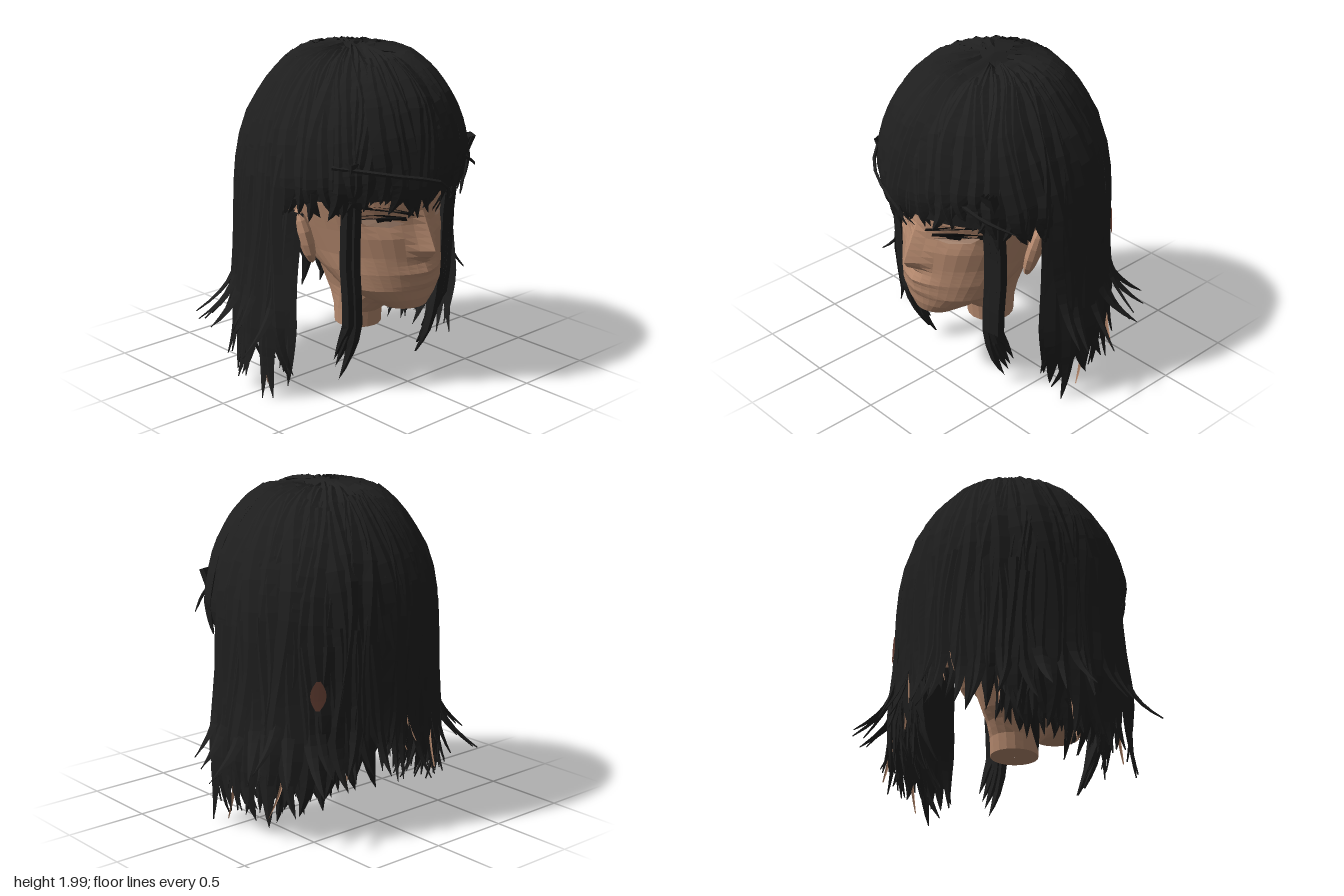
import * as THREE from 'three';
import { mergeGeometries } from 'three/addons/utils/BufferGeometryUtils.js';

const mat = (name, color, side = THREE.FrontSide) => {
  const m = new THREE.MeshStandardMaterial({ color, side });
  m.name = name;
  return m;
};

// seeded random numbers
let seed = 11;
const rnd = (a = 0, b = 1) => {
  seed = (seed * 16807) % 2147483647;
  return a + (b - a) * (seed / 2147483647);
};

const lerp = THREE.MathUtils.lerp;

// section tables: [y, half width, front z, back z]
const HEAD = [
  [0.512, 0.001, 0.5, 0.498], [0.52, 0.14, 0.59, 0.33], [0.58, 0.235, 0.61, 0.17],
  [0.65, 0.32, 0.62, 0.02], [0.75, 0.36, 0.625, -0.15], [0.85, 0.385, 0.62, -0.32],
  [1.0, 0.43, 0.61, -0.45], [1.15, 0.47, 0.6, -0.5], [1.35, 0.5, 0.6, -0.54],
  [1.6, 0.42, 0.48, -0.44], [1.8, 0.2, 0.22, -0.2], [1.85, 0.01, 0.01, -0.01],
];
const NECK = [
  [0.28, 0.002, 0.052, 0.048], [0.281, 0.14, 0.19, -0.1], [0.38, 0.14, 0.2, -0.11],
  [0.46, 0.145, 0.3, -0.15], [0.52, 0.155, 0.42, -0.2], [0.7, 0.2, 0.4, -0.28],
];
const HAIR = [
  [1.99, 0.001, 0.001, -0.001], [1.975, 0.19, 0.22, -0.22], [1.94, 0.33, 0.37, -0.33],
  [1.86, 0.43, 0.49, -0.42], [1.74, 0.52, 0.6, -0.51], [1.55, 0.63, 0.67, -0.61],
  [1.32, 0.685, 0.7, -0.66], [1.1, 0.7, 0.68, -0.67], [0.85, 0.71, 0.66, -0.67],
  [0.6, 0.74, 0.66, -0.67], [0.2, 0.77, 0.66, -0.7],
];

// row of a table at a fractional index, and the index for a height
const at = (rows, p) => {
  const i = Math.min(Math.floor(p), rows.length - 2);
  return rows[i].map((v, k) => lerp(v, rows[i + 1][k], p - i));
};
const indexOf = (rows, y) => {
  for (let i = 0; i < rows.length - 1; i++) {
    const t = (y - rows[i][0]) / (rows[i + 1][0] - rows[i][0]);
    if (t >= 0 && t <= 1) return i + t;
  }
  return rows.length - 1;
};

// faceted surface from a rule f(u, v)
function grid(nu, nv, f) {
  const pos = [], idx = [];
  for (let j = 0; j <= nv; j++)
    for (let i = 0; i <= nu; i++) pos.push(...f(i / nu, j / nv));
  for (let j = 0; j < nv; j++)
    for (let i = 0; i < nu; i++) {
      const a = j * (nu + 1) + i, c = a + nu + 1;
      idx.push(a, a + 1, c, a + 1, c + 1, c);
    }
  const g = new THREE.BufferGeometry();
  g.setAttribute('position', new THREE.Float32BufferAttribute(pos, 3));
  g.setIndex(idx);
  return flat(g);
}
function flat(g) {
  const out = g.toNonIndexed();
  out.computeVertexNormals();
  return out;
}

// nose, lips and eye sockets pushed out of the face
function relief(x, y) {
  const a = Math.abs(x), tent = (d, w) => Math.max(0, 1 - Math.abs(d) / w);
  const drop = y > 0.87 ? THREE.MathUtils.clamp((1.12 - y) / 0.25, 0, 1) : THREE.MathUtils.clamp((y - 0.81) / 0.06, 0, 1);
  const nose = 0.1 * drop * tent(x, 0.05 + 0.06 * drop);
  const lips = (0.03 * tent(y - 0.75, 0.06) + 0.02 * tent(y - 0.68, 0.05)) * tent(x, 0.2);
  const socket = 0.04 * tent(a - 0.22, 0.17) * tent(y - 1.06, 0.09);
  return nose + lips - socket;
}
function headPoint(theta, p) {
  const [y, rx, zf, zb] = at(HEAD, p), zc = (zf + zb) / 2;
  const x = rx * Math.sin(theta), c = Math.cos(theta);
  return [x, y, zc + (zf - zc) * c + (c > 0.3 ? relief(x, y) : 0)];
}
function faceZ(x, y) {
  const p = indexOf(HEAD, y);
  return headPoint(Math.asin(x / at(HEAD, p)[1]), p)[2];
}

// thin painted patch lying on the face
function decal(points, lift = 0.01) {
  const g = new THREE.ShapeGeometry(new THREE.Shape(points.map(p => new THREE.Vector2(...p))));
  const a = g.attributes.position;
  for (let i = 0; i < a.count; i++) a.setZ(i, faceZ(a.getX(i), a.getY(i)) + lift);
  return flat(g);
}

// point on the hair volume; the crown has a shallow parting
function hairPoint(theta, p, k = 1) {
  const [y, rx, zf, zb] = at(HAIR, p), c = Math.cos(theta);
  const x = rx * Math.sin(theta) * k, z = (c > 0 ? zf : -zb) * c * k;
  const dip = z > -0.1 && y > 1.6 ? 0.03 * Math.exp(-(((x - 0.09) / 0.05) ** 2)) : 0;
  return new THREE.Vector3(x, y - dip, z);
}

// tapering lock with a diamond section swept along points
function lock(points, width, thick, taperFrom = 0.65) {
  const curve = new THREE.CatmullRomCurve3(points), n = points.length + 4;
  return grid(4, n, (u, v) => {
    const c = curve.getPoint(v), t = curve.getTangent(v);
    const out = new THREE.Vector3(c.x, Math.max(0, c.y - 1.2) * 1.1, c.z);
    const s = new THREE.Vector3().crossVectors(t, out).normalize();
    const o = new THREE.Vector3().crossVectors(s, t).normalize();
    const end = v > taperFrom ? Math.pow(1 - (v - taperFrom) / (1 - taperFrom), 0.7) : 1;
    const w = width * end * Math.min(1, 0.12 + Math.hypot(c.x, c.z) / 0.6);
    const a = u * Math.PI * 2;
    c.addScaledVector(s, Math.cos(a) * w).addScaledVector(o, Math.sin(a) * thick * (0.2 + 0.8 * end));
    return [c.x, c.y, c.z];
  });
}

// lock that follows the hair volume from index p0, then swings free to yEnd
function fallingLock(theta, p0, yEnd, flare, k, width, free = 0.35) {
  const pts = [], p1 = indexOf(HAIR, yEnd + free), phase = rnd(0, 6);
  const sway = p => theta + 0.06 * Math.sin(p * 0.9 + phase);
  for (let i = 0; i <= 8; i++) {
    const p = lerp(p0, p1, i / 8);
    pts.push(hairPoint(sway(p), p, k));
  }
  const turn = rnd(-0.12, 0.12);
  for (let i = 1; i <= 4; i++) {
    const t = i / 4, q = hairPoint(sway(p1) + turn * t * t, p1, k * (1 + flare * t * t));
    q.y = lerp(yEnd + free, yEnd, t);
    pts.push(q);
  }
  return lock(pts, width, 0.018);
}

// hem of the hair: a fringe in front, long at the sides, shorter at the nape
const FRINGE = 1.33;
function hem(theta) {
  const a = Math.abs(theta);
  if (a < FRINGE) return 1.17;
  return 0.01 + 0.13 * Math.min(1, (a - FRINGE) / 1.1) + 0.3 * Math.max(0, (a - 2.4) / 0.74);
}

export function createModel() {
  seed = 11;
  const model = new THREE.Group();
  const skin = mat('skin', 0xb5896e);
  const hair = mat('black hair', 0x1f1f1f, THREE.DoubleSide);
  const under = mat('dark brown scalp', 0x5e3b30, THREE.DoubleSide);
  const ink = mat('eye black', 0x131313, THREE.DoubleSide);
  const eyeMat = mat('eye pale', 0xb8937c, THREE.DoubleSide);
  const add = (name, geo, m) => {
    const mesh = new THREE.Mesh(Array.isArray(geo) ? mergeGeometries(geo) : geo, m);
    mesh.name = name;
    model.add(mesh);
    return mesh;
  };

  // head, scalp under the hair at the back, and neck
  const ring = u => (u * 2 - 1) * Math.PI;
  add('head', grid(40, 44, (u, v) => headPoint(ring(u), v * (HEAD.length - 1))), skin);
  add('scalp', grid(20, 20, (u, v) => {
    const [x, y, z] = headPoint(lerp(1.9, Math.PI * 2 - 1.9, u), lerp(indexOf(HEAD, 0.82), HEAD.length - 1, v));
    return [x * 1.02, y, z * 1.02];
  }), under);
  add('neck', grid(18, 10, (u, v) => {
    const [y, rx, zf, zb] = at(NECK, v * (NECK.length - 1)), th = ring(u);
    return [0.015 + rx * Math.sin(th), y, (zf + zb) / 2 + ((zf - zb) / 2) * Math.cos(th)];
  }), skin);

  // ears and eyes
  for (const s of [1, -1]) {
    const ear = add('ear', flat(new THREE.SphereGeometry(1, 9, 7)), skin);
    ear.scale.set(0.045, 0.17, 0.09);
    ear.position.set(0.48 * s, 0.95, 0.13);
    ear.rotation.set(-0.1, 0.5 * s, -0.2 * s);
    const mir = pts => pts.map(([x, y]) => [x * s, y]);
    add('eye', decal(mir([[0.12, 1.05], [0.2, 1.03], [0.3, 1.045], [0.34, 1.08], [0.22, 1.085]]), 0.01), eyeMat);
    add('iris', decal(mir([[0.19, 1.06], [0.25, 1.06], [0.265, 1.085], [0.18, 1.085]]), 0.014), ink);
    add('upperLid', decal(mir([[0.11, 1.065], [0.2, 1.078], [0.36, 1.07], [0.37, 1.1], [0.25, 1.115], [0.12, 1.09]]), 0.016), ink);
    add('eyebrow', decal(mir([[0.07, 1.09], [0.19, 1.125], [0.34, 1.15], [0.34, 1.17], [0.2, 1.15], [0.08, 1.11]]), 0.014), ink);
  }

  // hair base shell
  add('hairShell', grid(72, 20, (u, v) => {
    const th = ring(u), y = Math.abs(th) < FRINGE ? 1.22 : hem(th) + 0.42;
    return hairPoint(th, v * indexOf(HAIR, y), 0.965).toArray();
  }), hair);

  // long curtain around the sides and back, in overlapping layers
  const curtain = [], inner = [], tan = [], flicks = [], fringe = [];
  for (const s of [1, -1])
    for (let i = 0; i < 36; i++) {
      const th = s * (FRINGE + 0.02 + (i / 35) * (Math.PI - FRINGE - 0.02));
      const short = i % 3 ? rnd(-0.01, 0.1) : rnd(0.1, 0.25);
      curtain.push(fallingLock(th, rnd(0.3, 3), hem(th) + short, rnd(-0.12, 0.08), rnd(0.965, 1), rnd(0.045, 0.075)));
      if (i < 26) inner.push(fallingLock(th, 7, hem(th) + rnd(0, 0.15), rnd(-0.2, 0.02), rnd(0.75, 0.93), 0.055));
      if (i % 10 === 5) tan.push(fallingLock(th, 9, hem(th) + rnd(0.02, 0.1), rnd(0, 0.1), 0.955, 0.016));
    }
  add('longHair', curtain, hair);
  add('innerHair', inner, hair);
  add('tanStrands', tan, skin);

  // outward flicked ends
  for (const s of [1, -1])
    for (let i = 0; i < 14; i++) {
      const th = s * (1.45 + i * 0.122 + rnd(-0.03, 0.03));
      const y = Math.max(rnd(0.3, 0.46), hem(th) - 0.05);
      flicks.push(fallingLock(th, 6 + rnd(), y, rnd(0.17, 0.36) * (i > 7 ? 0.5 : 1), 0.99, rnd(0.04, 0.065)));
    }
  add('flickedEnds', flicks, hair);

  // fringe, lowest just right of the middle of the face
  for (let i = 0; i < 52; i++) {
    const th = lerp(-FRINGE, FRINGE, i / 51);
    const y = (Math.abs(th) > 0.85 ? 1.09 : 1.165 - 0.07 * Math.exp(-(((th + 0.12) / 0.25) ** 2))) + rnd(-0.02, 0.05);
    fringe.push(fallingLock(th, rnd(0.3, 2.5), y, rnd(-0.08, -0.01), rnd(0.965, 1), rnd(0.045, 0.065), 0.2));
  }
  add('fringe', fringe, hair);

  // long locks framing the face, and a few stray hairs
  const V = (x, y, z) => new THREE.Vector3(x, y, z);
  const framing = [];
  for (const s of [1, -0.9])
    for (let i = 0; i < 4; i++) {
      const dx = (i - 1.5) * 0.022, dz = rnd(-0.025, 0.025), up = i * 0.05;
      framing.push(lock([V((0.47 + dx) * s, 1.45, 0.5), V((0.43 + dx) * s, 1.15, 0.42 + dz), V((0.42 + dx) * s, 0.8, 0.4 + dz),
        V((0.39 + dx) * s, 0.45, 0.39 + dz), V((0.38 + dx) * s, 0.2 + up, 0.33 + dz), V((0.37 + dx) * s, 0.03 + up, 0.24 + dz)], 0.038, 0.03));
    }
  add('faceFramingLocks', framing, hair);
  add('strayHairs', [
    lock([V(-0.53, 1.42, 0.42), V(-0.3, 1.38, 0.66), V(0, 1.3, 0.765), V(0.1, 1.18, 0.7)], 0.012, 0.01),
    lock([V(0.28, 1.4, 0.6), V(0.48, 1.3, 0.53), V(0.64, 1.22, 0.41)], 0.012, 0.01),
  ], hair);

  // scalp colour showing through a gap at the back
  add('scalpGap', grid(4, 6, (u, v) => {
    const w = 0.065 * Math.sin(Math.PI * (0.08 + v * 0.84));
    const y = lerp(0.8, 0.97, v);
    return hairPoint(2.42 + (u * 2 - 1) * w, indexOf(HAIR, y), 1.03).toArray();
  }), under);
  return model;
}
